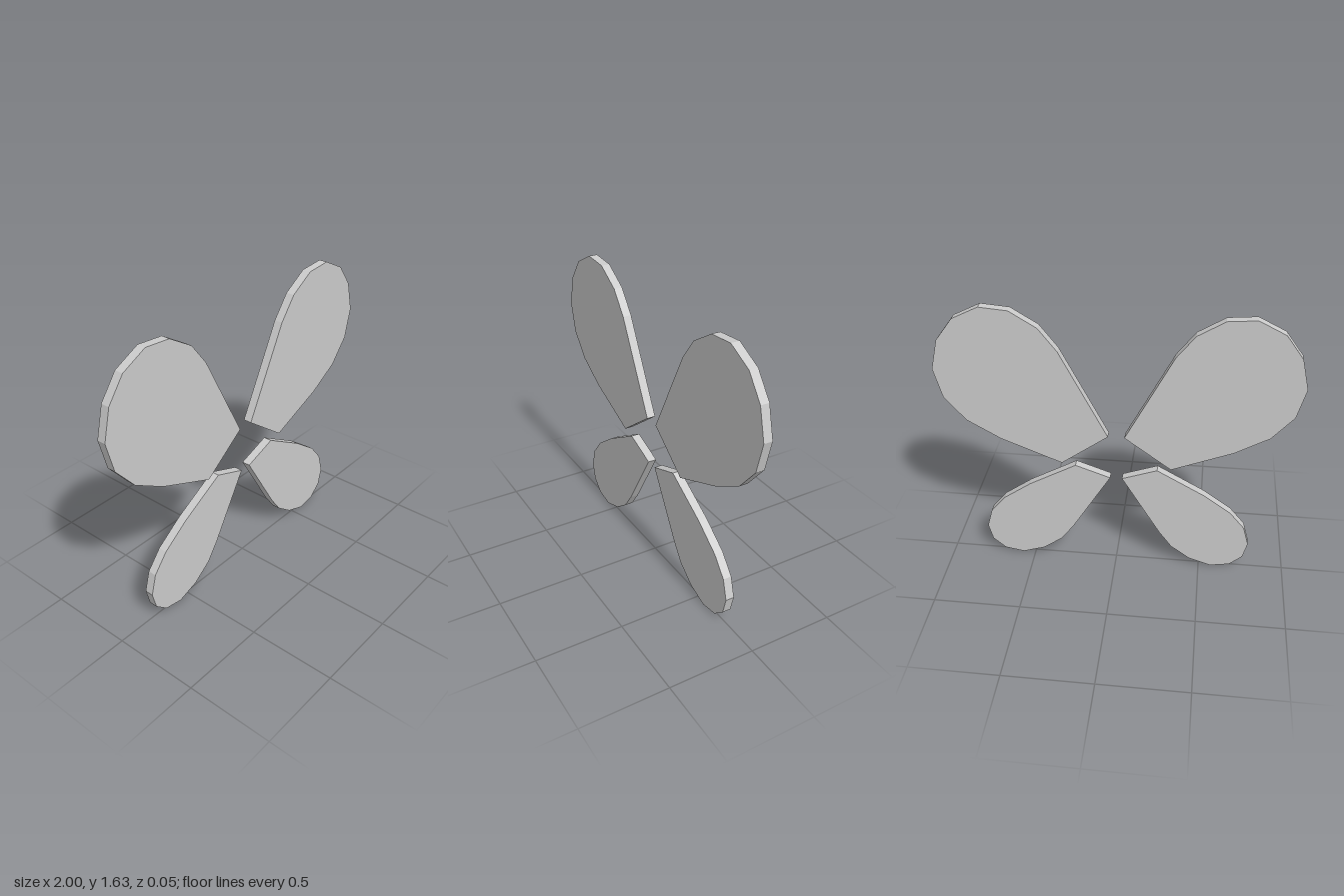
import * as THREE from 'three';

const THICKNESS = 0.05;

// Outlines of the wings on the +x side, starting at the inner root corner
const UPPER = [
  [0.046, 0.885], [0.31, 0.69], [0.653, 0.83], [0.84, 0.94], [0.957, 1.08], [1, 1.255],
  [0.957, 1.43], [0.86, 1.56], [0.713, 1.633], [0.557, 1.62], [0.41, 1.53], [0.31, 1.4],
];
const LOWER = [
  [0.034, 0.606], [0.233, 0.678], [0.503, 0.525], [0.663, 0.41], [0.75, 0.305], [0.783, 0.187],
  [0.758, 0.086], [0.684, 0.02], [0.572, 0], [0.444, 0.043], [0.332, 0.126], [0.257, 0.23],
];

// Flat faceted wing plate; side mirrors the outline across x = 0
function makeWing(name, outline, side, material) {
  const shape = new THREE.Shape(outline.map(([x, y]) => new THREE.Vector2(x * side, y)));
  const geometry = new THREE.ExtrudeGeometry(shape, { depth: THICKNESS, bevelEnabled: false });
  geometry.translate(0, 0, -THICKNESS / 2);
  const wing = new THREE.Mesh(geometry, material);
  wing.name = name;
  return wing;
}

export function createModel() {
  const model = new THREE.Group();
  model.name = 'wings';
  const material = new THREE.MeshStandardMaterial({ color: 0xcccccc, flatShading: true });

  // Two pairs of wings
  for (const [label, side] of [['left', 1], ['right', -1]]) {
    model.add(makeWing(`${label}UpperWing`, UPPER, side, material));
    model.add(makeWing(`${label}LowerWing`, LOWER, side, material));
  }
  return model;
}
